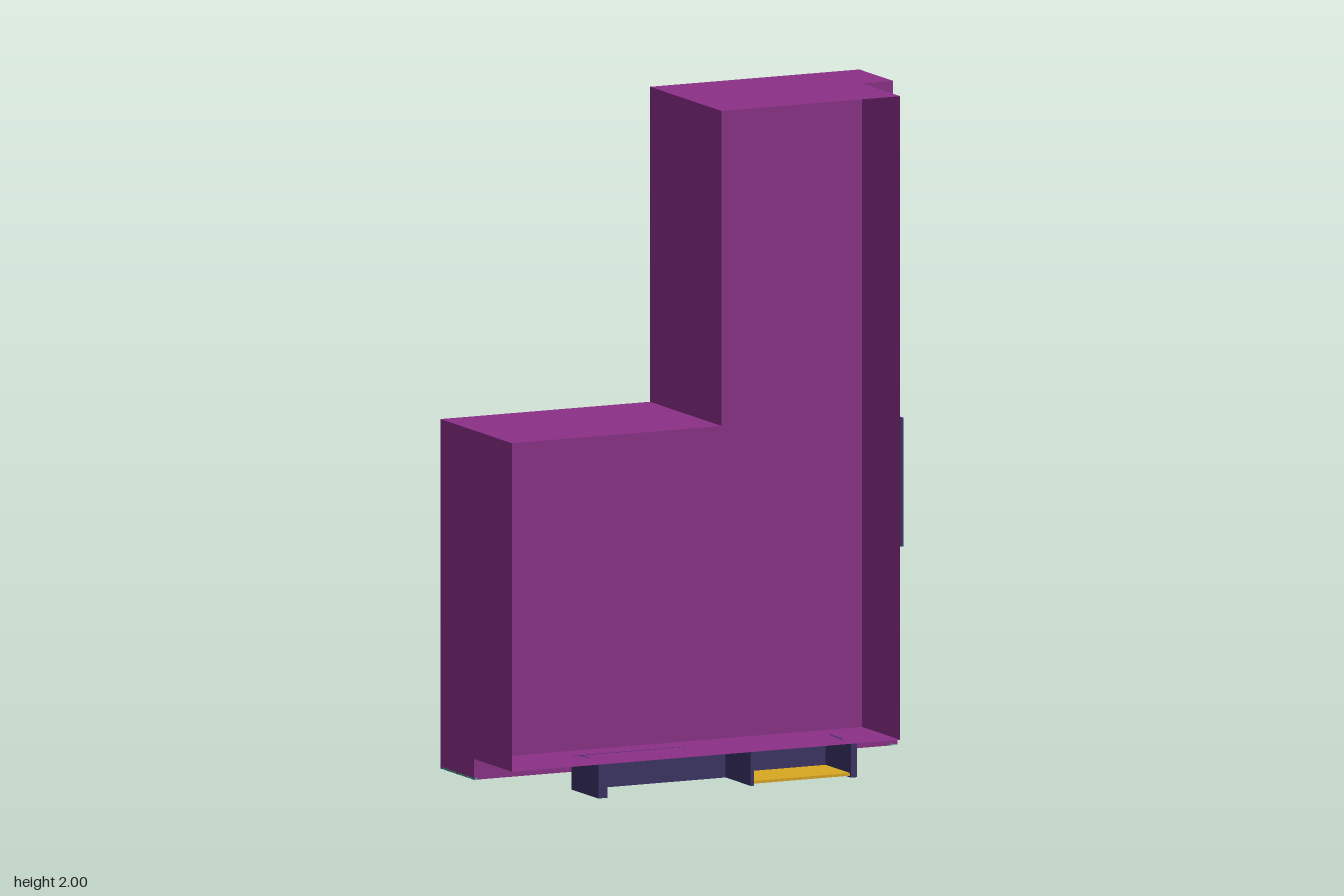
import * as THREE from 'three';
import { toCreasedNormals } from 'three/addons/utils/BufferGeometryUtils.js';

const mat = (name, color, extra = {}) => {
  const m = new THREE.MeshStandardMaterial({ color, ...extra });
  m.name = name;
  return m;
};

export function createModel() {
  const purple = mat('purple', 0x8c3088);
  const purpleWall = mat('purple wall', 0x8c3088, { side: THREE.DoubleSide });
  const violet = mat('violet', 0x5b2f7a);
  const navy = mat('navy', 0x3a3264);
  const yellow = mat('yellow glass', 0xd9a820);
  const teal = mat('teal', 0x3fa98a);

  const group = new THREE.Group();
  const add = (name, geometry, material) => {
    const mesh = new THREE.Mesh(geometry, material);
    mesh.name = name;
    group.add(mesh);
    return mesh;
  };
  // box given by its minimum and maximum on each axis
  const box = (name, x0, x1, y0, y1, z0, z1, material) => {
    const g = new THREE.BoxGeometry(x1 - x0, y1 - y0, z1 - z0);
    g.translate((x0 + x1) / 2, (y0 + y1) / 2, (z0 + z1) / 2);
    return add(name, g, material);
  };

  const left = -0.69, right = 0.67, back = -0.2, mid = 0.02, front = 0.27;
  const base = 0.04, shoulder = 1.07, top = 2;

  // rear slab of the building, with a violet back
  const skin = [purple, purple, purple, purple, purple, violet];
  box('lowerBlock', left, right, base + 0.004, shoulder, back, mid, skin);
  box('tower', -0.01, right, shoulder, top, back, mid, skin);

  // open-fronted shell standing forward of the slab
  const outline = [[left, 0.1], [0.57, 0.1], [0.57, top], [-0.01, top], [-0.01, shoulder], [left, shoulder]];
  const corners = [];
  outline.forEach(([x0, y0], i) => {
    const [x1, y1] = outline[(i + 1) % outline.length];
    corners.push(x0, y0, mid, x1, y1, mid, x1, y1, front, x0, y0, mid, x1, y1, front, x0, y0, front);
  });
  const shell = new THREE.BufferGeometry();
  shell.setAttribute('position', new THREE.Float32BufferAttribute(corners, 3));
  shell.computeVertexNormals();
  add('frontShell', shell, purpleWall);

  // stepped side panel on the shell
  const panel = new THREE.Shape([
    [mid, 1.05], [mid, 1.03], [0.15, 1.03], [0.15, 0.67], [front, 0.67], [front, 1.05],
  ].map(([z, y]) => new THREE.Vector2(-z, y)));
  const panelGeo = new THREE.ExtrudeGeometry(panel, { depth: 0.01, bevelEnabled: false });
  panelGeo.rotateY(Math.PI / 2).translate(0.571, 0, 0);
  add('sidePanel', panelGeo, [purple, navy]);

  // lower side window bay
  box('sideWindowBay', right, 0.681, base, shoulder, back, mid, [yellow, purple, teal, purple, purple, violet]);
  for (const z of [mid - 0.005, back + 0.005]) {
    box('bayFrame', 0.681, 0.685, base, shoulder, z - 0.005, z + 0.005, purple);
  }
  for (const z of [-0.04, -0.09, -0.14]) {
    box('bayMullion', 0.681, 0.684, base, shoulder, z - 0.003, z + 0.003, z === -0.04 ? teal : purple);
  }
  for (let i = 0; i < 10; i++) {
    const y = base + 0.006 + i * 0.1133;
    box('bayTransom', 0.681, 0.685, y - 0.004, y + 0.004, back, mid, i === 9 ? teal : purple);
  }

  // tower side windows in two tall strips
  for (const [z0, z1] of [[-0.08, 0], [-0.178, -0.138]]) {
    box('towerWindow', right, 0.673, shoulder, 1.985, z0, z1, yellow);
    const zc = (z0 + z1) / 2;
    if (z1 === 0) box('towerMullion', 0.673, 0.676, shoulder, 1.985, zc - 0.003, zc + 0.003, purple);
    for (let i = 1; i < 8; i++) {
      const y = shoulder + 0.004 + i * 0.1135;
      box('towerTransom', 0.673, 0.676, y - 0.004, y + 0.004, z0, z1, purple);
    }
  }

  // glazed underside of the slab
  box('soffitGlass', left + 0.01, right, base + 0.001, base + 0.004, back + 0.01, mid - 0.01, yellow);
  for (const z of [back + 0.005, -0.145, -0.09, -0.035, mid - 0.005]) {
    box('soffitBar', left, right, base - 0.002, base + 0.004, z - 0.004, z + 0.004, purple);
  }
  for (let i = 0; i <= 12; i++) {
    const x = left + 0.005 + (i * (right - left - 0.01)) / 12;
    box('soffitCrossBar', x - 0.004, x + 0.004, base - 0.002, base + 0.004, back, mid, i % 12 ? purple : teal);
  }

  // row of four curved bays on the back; grow pushes the outline outward
  const scallops = (name, y0, y1, grow, materials) => {
    const start = -0.585, width = 0.2962, steps = 16;
    const half = width / 2, rise = 0.05;
    const radius = (half * half + rise * rise) / (2 * rise);
    const pts = [new THREE.Vector2(start - grow / 2, 0.195)];
    for (let b = 0; b < 4; b++) {
      for (let i = b ? 1 : 0; i <= steps; i++) {
        const u = (i / steps) * 2 - 1;
        const depth = 0.207 + grow + Math.sqrt(radius * radius - half * half * u * u) - (radius - rise);
        const edge = b === 0 && i === 0 ? -grow / 2 : b === 3 && i === steps ? grow / 2 : 0;
        pts.push(new THREE.Vector2(start + width * (b + i / steps) + edge, depth));
      }
    }
    pts.push(new THREE.Vector2(start + 4 * width + grow / 2, 0.195));
    let g = new THREE.ExtrudeGeometry(new THREE.Shape(pts), { depth: y1 - y0, bevelEnabled: false });
    g.rotateX(-Math.PI / 2).translate(0, y0, 0);
    g = toCreasedNormals(g, 0.6);
    add(name, g, materials);
  };
  scallops('curvedBays', 0.045, 1.031, 0, [purple, violet]);
  for (const [y0, y1] of [[0.038, 0.13], [0.5, 0.58], [0.99, 1.03]]) {
    scallops('bayBand', y0, y1, 0.01, [navy, navy]);
  }

  // entrance below the shell: rear wall, fin and lit porch
  box('entranceWall', -0.41, 0.43, 0, 0.1, 0.095, 0.105, navy);
  box('entranceFin', -0.41, -0.38, 0, 0.1, 0.1, front, navy);
  box('porchSide', 0.085, 0.095, 0, 0.1, 0.1, front, navy);
  box('porchSide', 0.41, 0.43, 0, 0.1, 0.1, front, navy);
  box('porchFloor', 0.095, 0.41, 0.005, 0.013, 0.105, front - 0.005, yellow);

  return group;
}
